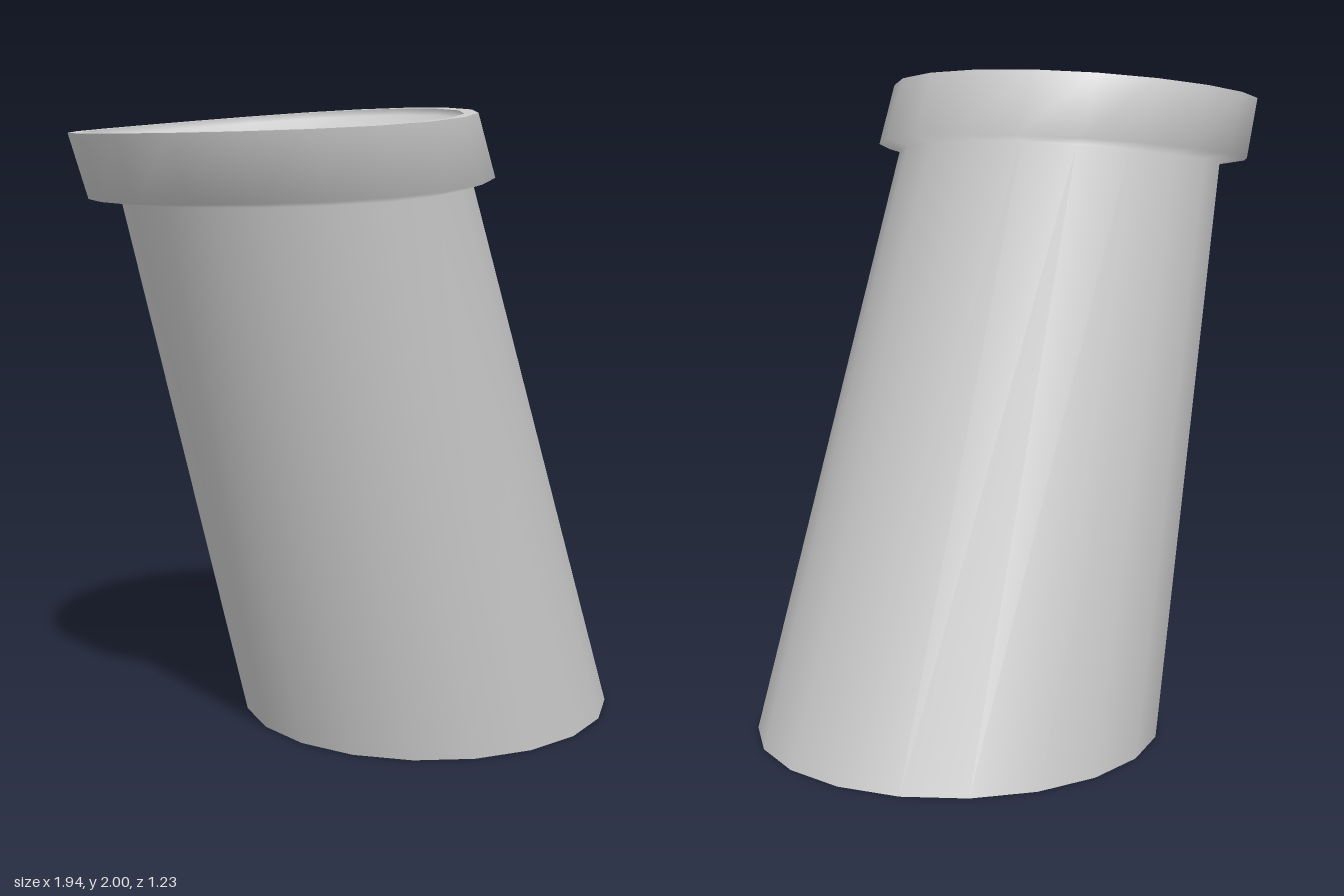
import * as THREE from 'three';

const SIDES = 20;

// Skin a run of rings: [centre x, y, z, radius x, radius z, rise towards +x, lift of both x ends]
function loft(rings) {
  const pos = [], index = [];
  for (const [cx, cy, cz, rx, rz, rise, lift] of rings) {
    for (let i = 0; i < SIDES; i++) {
      const a = (i / SIDES) * Math.PI * 2, c = Math.cos(a);
      pos.push(cx + c * rx, cy + c * rise + c * c * lift, cz + Math.sin(a) * rz);
    }
  }
  for (let r = 0; r < rings.length - 1; r++) {
    for (let i = 0; i < SIDES; i++) {
      const j = (i + 1) % SIDES;
      const a = r * SIDES + i, b = r * SIDES + j;
      const c = a + SIDES, d = b + SIDES;
      index.push(a, c, b, b, c, d);
    }
  }
  const geometry = new THREE.BufferGeometry();
  geometry.setAttribute('position', new THREE.Float32BufferAttribute(pos, 3));
  geometry.setIndex(index);
  geometry.computeVertexNormals();
  return geometry;
}

export function createModel() {
  const group = new THREE.Group();
  const material = new THREE.MeshStandardMaterial({ color: 0xcccccc, side: THREE.DoubleSide });

  const add = (name, rings) => {
    const mesh = new THREE.Mesh(loft(rings), material);
    mesh.name = name;
    group.add(mesh);
  };

  // Leaning, tapered column, open at the bottom, blending smoothly into a tilted collar
  const base = [0.345, 0, 0.003, 0.623, 0.617, 0, 0];
  const columnTop = [-0.255, 1.735, -0.015, 0.545, 0.515, 0.04, 0.015];
  const collarLower = [-0.27, 1.752, -0.02, 0.632, 0.59, 0.045, 0.013];
  const collarUpper = [-0.35, 1.943, -0.02, 0.62, 0.59, 0.045, 0.012];
  add('columnAndCollar', [base, columnTop, collarLower, collarUpper]);

  // Narrow flat rim
  const lip = [-0.35, 1.943, -0.02, 0.577, 0.55, 0.042, 0.011];
  add('rim', [collarUpper, lip]);

  // Shallow rounded dish inside the rim
  add('dish', [
    lip,
    [-0.343, 1.923, -0.02, 0.573, 0.547, 0.042, 0.011],
    [-0.335, 1.885, -0.02, 0.5, 0.475, 0.036, 0.006],
    [-0.325, 1.85, -0.02, 0.3, 0.285, 0.022, 0.002],
    [-0.32, 1.84, -0.02, 0, 0, 0, 0],
  ]);

  return group;
}
